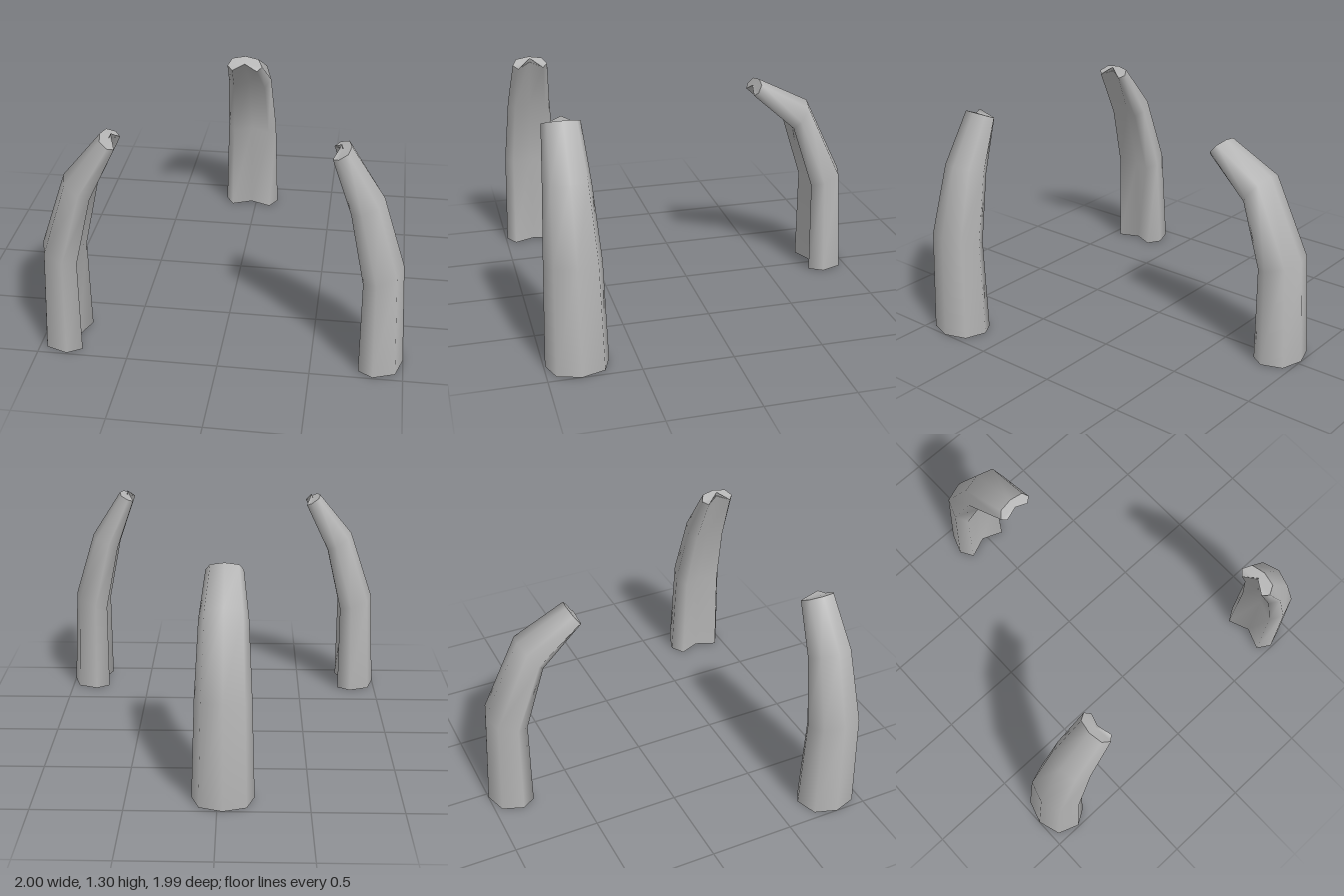
import * as THREE from 'three';

const grey = new THREE.MeshStandardMaterial({ color: 0xb4b4b4 });
grey.name = 'stone grey';

// Cross-section: [share of depth from outer to inner side, share of half width]
const half = [[0, 0], [0.17, 0.75], [0.67, 1], [1, 0.72]];

// One ring: outer and inner points in the bending plane, half width, and groove point
function ringPoints({ outer, inner, width, groove }) {
  const at = ([t, w], side) => new THREE.Vector3(
    THREE.MathUtils.lerp(outer[0], inner[0], t),
    THREE.MathUtils.lerp(outer[1], inner[1], t),
    side * w * width);
  return [
    ...half.map(p => at(p, 1)),
    new THREE.Vector3(groove[0], groove[1], 0),
    ...half.slice(1).reverse().map(p => at(p, -1)),
  ];
}

function geometryFrom(points, index) {
  const g = new THREE.BufferGeometry().setFromPoints(points);
  g.setIndex(index);
  g.computeVertexNormals();
  return g;
}

function capGeometry(ring, up) {
  const n = ring.length, index = [];
  const centre = ring.reduce((s, p) => s.add(p), new THREE.Vector3()).divideScalar(n);
  for (let j = 0; j < n; j++) {
    const k = (j + 1) % n;
    index.push(n, ...(up ? [k, j] : [j, k]));
  }
  return geometryFrom([...ring, centre], index);
}

// Curved, tapering pillar with a groove on its inner side; +x is outward
function pillar(name, sections) {
  const rings = sections.map(ringPoints), n = rings[0].length, index = [];
  for (let i = 0; i < rings.length - 1; i++) {
    for (let j = 0; j < n; j++) {
      const a = i * n + j, b = i * n + (j + 1) % n;
      index.push(a, a + n, b, b, a + n, b + n);
    }
  }
  const group = new THREE.Group();
  group.name = name;
  const add = (part, geometry) => {
    const mesh = new THREE.Mesh(geometry, grey);
    mesh.name = part;
    group.add(mesh);
  };
  add('shaft', geometryFrom(rings.flat(), index));
  add('base', capGeometry(rings[0], false));
  add('tip', capGeometry(rings[rings.length - 1], true));
  return group;
}

// The lower half is the same on every pillar
const lower = [
  { outer: [1, 0], inner: [0.76, 0], width: 0.172, groove: [0.81, 0] },
  { outer: [0.968, 0.61], inner: [0.76, 0.55], width: 0.155, groove: [0.8, 0.56] },
];

export function createModel() {
  const model = new THREE.Group();
  model.name = 'curvedPillars';

  const right = pillar('rightPillar', [...lower,
    { outer: [0.825, 1.03], inner: [0.67, 0.94], width: 0.128, groove: [0.7, 0.96] },
    { outer: [0.617, 1.28], inner: [0.53, 1.23], width: 0.103, groove: [0.56, 1.285] },
  ]);
  right.rotation.y = Math.PI;
  right.position.z = 0.82;

  const left = pillar('leftPillar', [...lower,
    { outer: [0.845, 1.01], inner: [0.68, 0.95], width: 0.128, groove: [0.71, 0.965] },
    { outer: [0.665, 1.29], inner: [0.575, 1.25], width: 0.103, groove: [0.615, 1.3] },
  ]);
  left.position.z = 0.82;

  const back = pillar('backPillar', [...lower,
    { outer: [0.75, 1.06], inner: [0.64, 0.92], width: 0.135, groove: [0.66, 0.95] },
    { outer: [0.45, 1.21], inner: [0.397, 1.135], width: 0.105, groove: [0.41, 1.175] },
  ]);
  back.rotation.y = Math.PI / 2;
  back.position.x = -0.03;

  model.add(right, left, back);
  return model;
}
